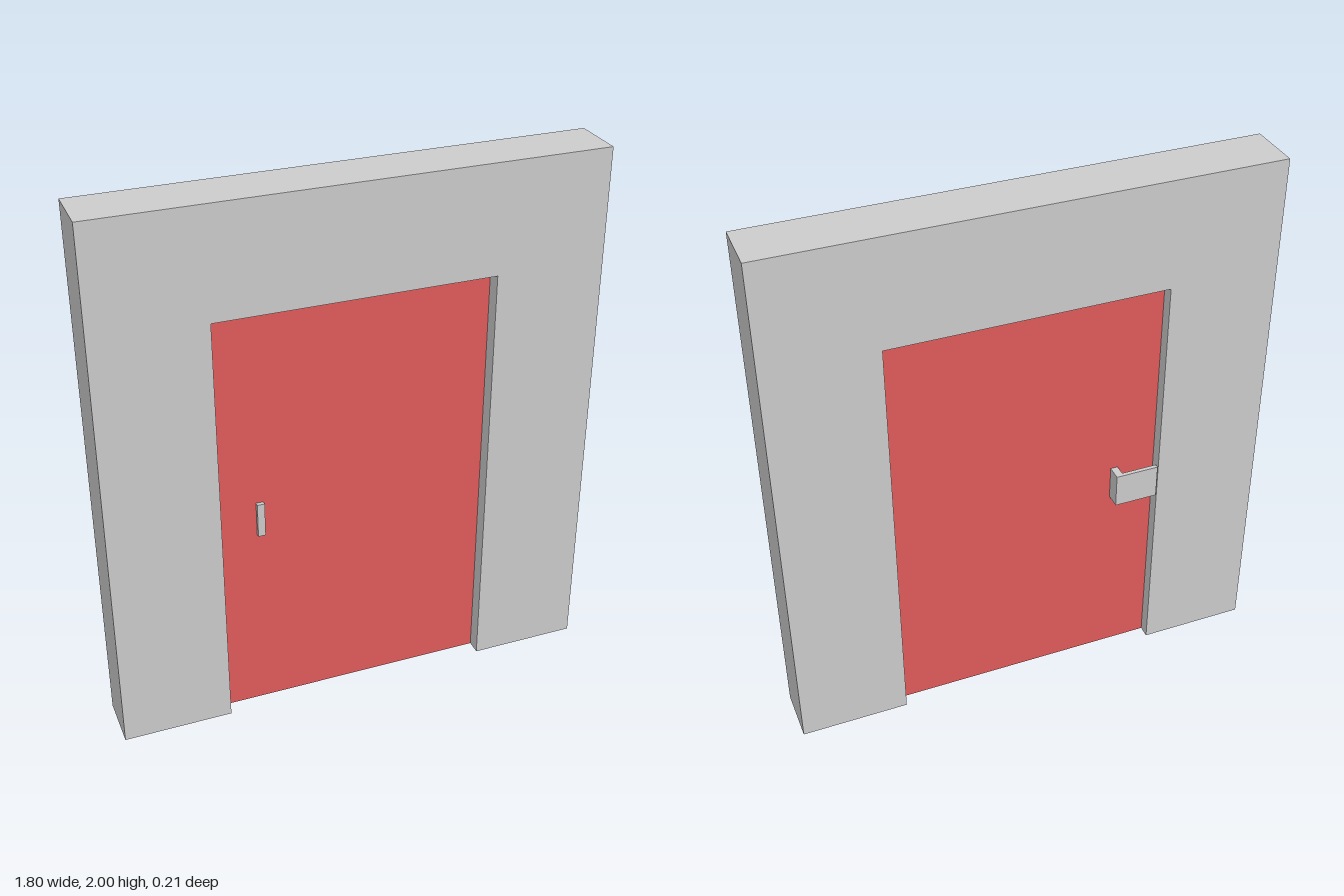
import * as THREE from 'three';

const grey = new THREE.MeshStandardMaterial({ color: 0xcccccc });
const red = new THREE.MeshStandardMaterial({ color: 0xe05a5a });

// Outline in x/y extruded between two depths
function slab(name, points, z0, z1, material) {
  const shape = new THREE.Shape(points.map(([x, y]) => new THREE.Vector2(x, y)));
  const geometry = new THREE.ExtrudeGeometry(shape, { depth: z1 - z0, bevelEnabled: false });
  geometry.translate(0, 0, z0);
  const mesh = new THREE.Mesh(geometry, material);
  mesh.name = name;
  return mesh;
}

export function createModel() {
  const model = new THREE.Group();
  model.name = 'doorInWall';

  // Wall with an opening that reaches the floor
  model.add(slab('wall', [
    [-0.9, 0], [-0.5, 0], [-0.5, 1.6], [0.5, 1.6],
    [0.5, 0], [0.9, 0], [0.9, 2], [-0.9, 2],
  ], -0.095, 0.105, grey));

  // Door leaf, set back from both wall faces
  model.add(slab('door', [[-0.5, 0], [0.5, 0], [0.5, 1.6], [-0.5, 1.6]], -0.05, 0.05, red));

  // Handle: a stem through the door, with a plate turned towards the jamb at the back
  const profile = new THREE.Shape([
    [-0.358, -0.065], [-0.331, -0.065], [-0.331, 0.105],
    [-0.492, 0.105], [-0.492, 0.09], [-0.358, 0.09],
  ].map(([x, y]) => new THREE.Vector2(x, y)));
  const handleGeometry = new THREE.ExtrudeGeometry(profile, { depth: 0.13, bevelEnabled: false });
  handleGeometry.rotateX(-Math.PI / 2); // profile y becomes -z, depth becomes height
  handleGeometry.translate(0, 0.73, 0);
  const handle = new THREE.Mesh(handleGeometry, grey);
  handle.name = 'handle';
  model.add(handle);

  return model;
}
